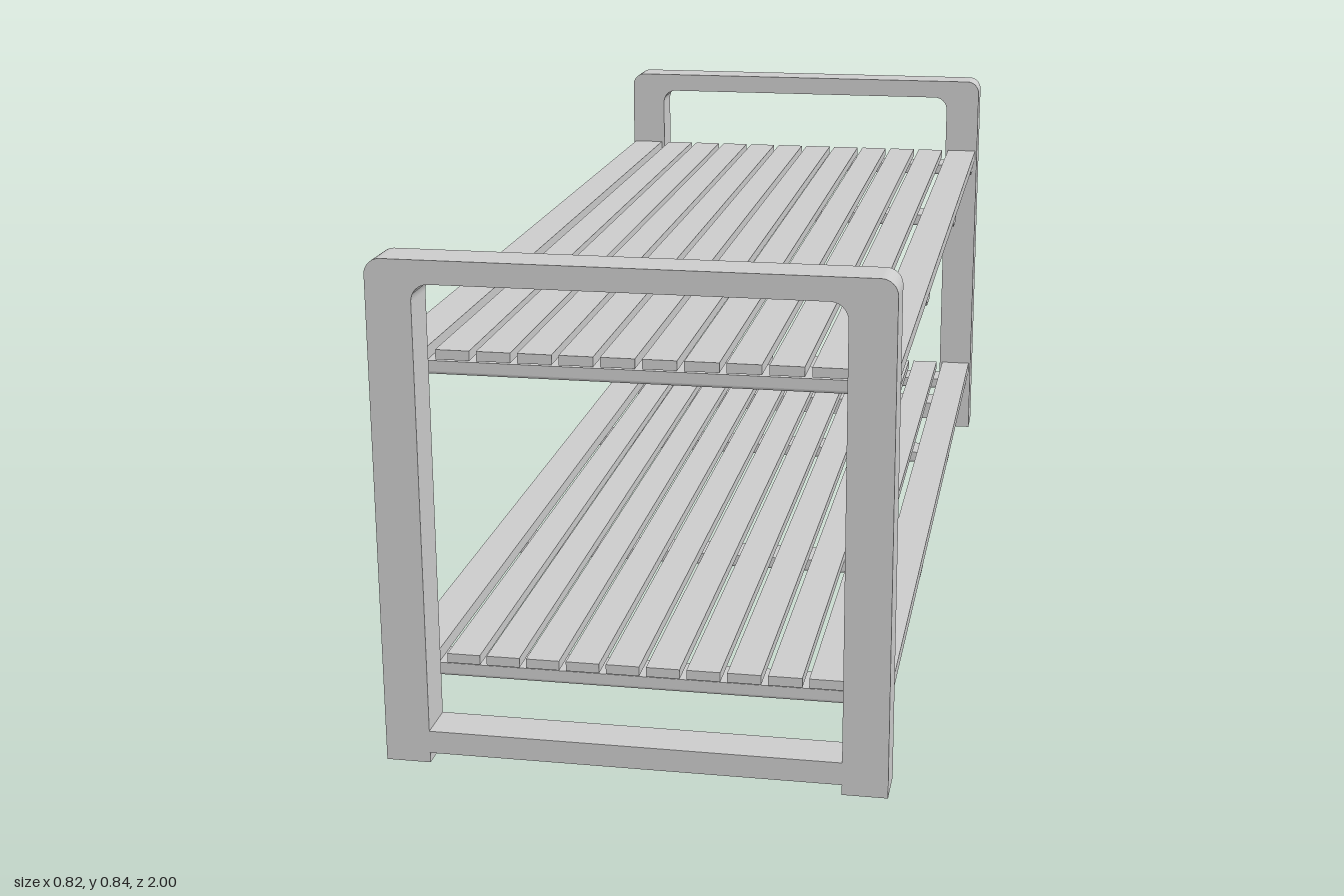
import * as THREE from 'three';

const material = new THREE.MeshStandardMaterial({ color: 0xcccccc });

function box(parent, name, w, h, d, x, y, z) {
  const mesh = new THREE.Mesh(new THREE.BoxGeometry(w, h, d), material);
  mesh.name = name;
  mesh.position.set(x, y, z);
  parent.add(mesh);
  return mesh;
}

// Upside-down U with rounded outer and inner corners
function frameGeometry() {
  const X = 0.408, H = 0.836, R = 0.026, x = 0.335, h = 0.798, r = 0.028;
  const s = new THREE.Shape();
  s.moveTo(-X, 0);
  s.lineTo(-x, 0);
  s.lineTo(-x, h - r);
  s.absarc(-x + r, h - r, r, Math.PI, Math.PI / 2, true);
  s.absarc(x - r, h - r, r, Math.PI / 2, 0, true);
  s.lineTo(x, 0);
  s.lineTo(X, 0);
  s.lineTo(X, H - R);
  s.absarc(X - R, H - R, R, 0, Math.PI / 2, false);
  s.absarc(-X + R, H - R, R, Math.PI / 2, Math.PI, false);
  s.closePath();
  return new THREE.ExtrudeGeometry(s, { depth: 0.073, bevelEnabled: false, curveSegments: 8 })
    .translate(0, 0, -0.0365);
}

// Cross bar running along x, its lower edges eased
function barGeometry() {
  const w = 0.0325, h = 0.023, r = 0.006, length = 0.8;
  const s = new THREE.Shape();
  s.moveTo(-w, h);
  s.lineTo(-w, r);
  s.absarc(-w + r, r, r, Math.PI, Math.PI * 1.5, false);
  s.absarc(w - r, r, r, Math.PI * 1.5, Math.PI * 2, false);
  s.lineTo(w, h);
  s.closePath();
  return new THREE.ExtrudeGeometry(s, { depth: length, bevelEnabled: false, curveSegments: 4 })
    .translate(0, 0, -length / 2)
    .rotateY(Math.PI / 2);
}

export function createModel() {
  const model = new THREE.Group();
  model.name = 'slattedShoeRack';

  // End frames with a low rail between the legs
  const frameGeo = frameGeometry();
  for (const side of [1, -1]) {
    const end = new THREE.Group();
    end.name = side > 0 ? 'frontFrame' : 'backFrame';
    end.position.z = side * 0.9635;
    const frame = new THREE.Mesh(frameGeo, material);
    frame.name = 'archedFrame';
    end.add(frame);
    box(end, 'lowerRail', 0.67, 0.038, 0.073, 0, 0.036, 0);
    model.add(end);
  }

  // Two shelves: ten inner slats, two deeper edge slats, four cross bars
  const barGeo = barGeometry();
  for (const [name, top] of [['lowerShelf', 0.16], ['upperShelf', 0.675]]) {
    const shelf = new THREE.Group();
    shelf.name = name;
    shelf.position.y = top;
    for (let i = 0; i < 10; i++) {
      box(shelf, 'slat', 0.055, 0.016, 1.854, (i - 4.5) * 0.0662 + 0.002, -0.008, 0);
    }
    for (const side of [1, -1]) {
      box(shelf, 'edgeSlat', 0.063, 0.021, 1.854, side * 0.3725, -0.0105, 0);
    }
    for (const z of [-0.885, -0.329, 0.329, 0.885]) {
      const bar = new THREE.Mesh(barGeo, material);
      bar.name = 'crossBar';
      bar.position.set(0, -0.044, z);
      shelf.add(bar);
    }
    model.add(shelf);
  }
  return model;
}
